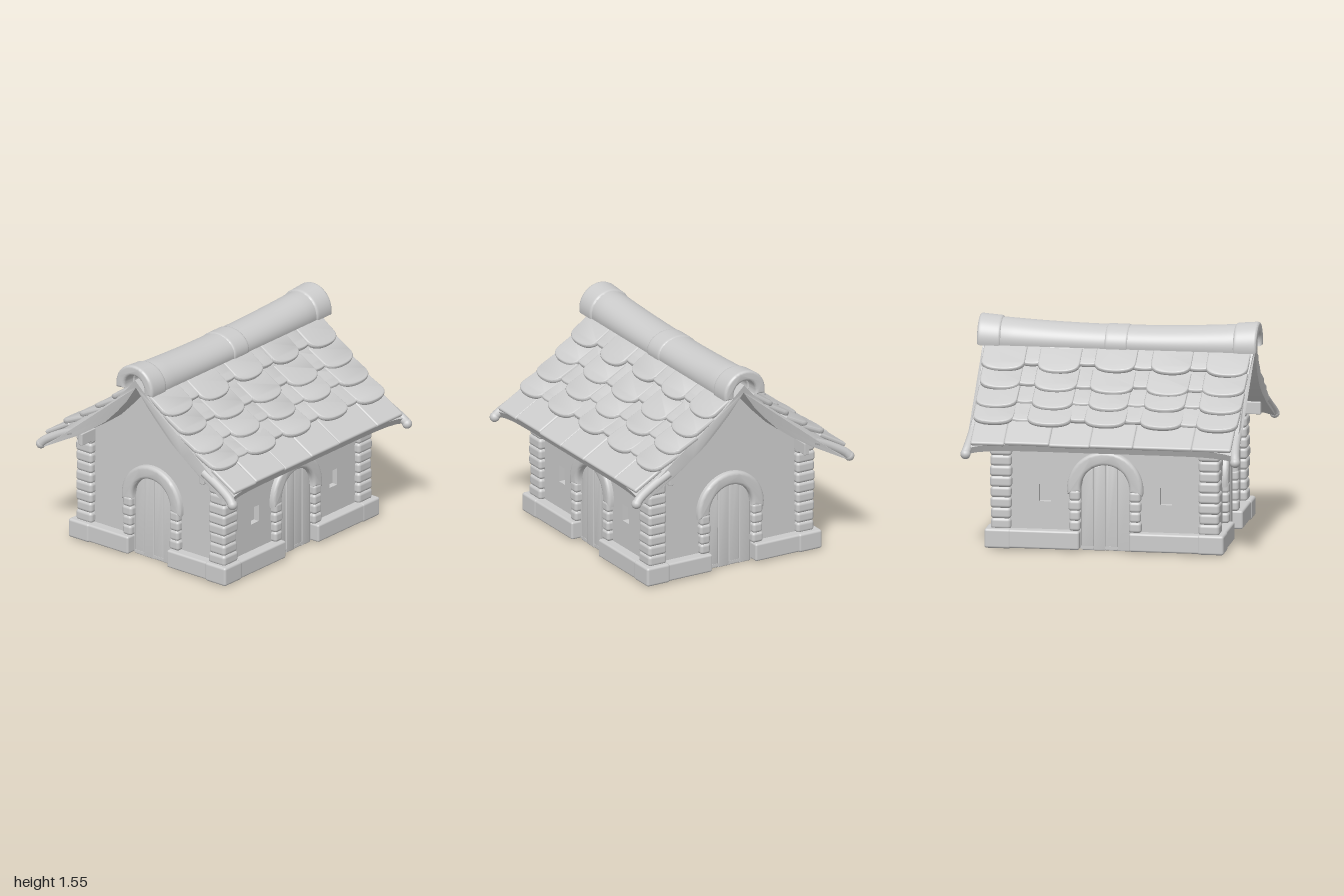
import * as THREE from 'three';
import { toCreasedNormals } from 'three/addons/utils/BufferGeometryUtils.js';
import { RoundedBoxGeometry } from 'three/addons/geometries/RoundedBoxGeometry.js';

const stone = new THREE.MeshStandardMaterial({ color: 0xcccccc });

function add(parent, name, geo, x = 0, y = 0, z = 0) {
  const m = new THREE.Mesh(geo, stone);
  m.name = name;
  m.position.set(x, y, z);
  parent.add(m);
  return m;
}
const block = (w, h, d, r = 0.02) => new RoundedBoxGeometry(w, h, d, 3, r);
const polygon = pts => new THREE.Shape(pts.map(p => new THREE.Vector2(p[0], p[1])));
const wobble = n => { const s = Math.sin(n * 12.9898) * 43758.5453; return (s - Math.floor(s)) * 2 - 1; };

function extrude(shape, depth, bevel = 0, steps = 1) {
  return new THREE.ExtrudeGeometry(shape, {
    depth, steps, curveSegments: 20, bevelEnabled: bevel > 0,
    bevelThickness: bevel, bevelSize: bevel, bevelOffset: -bevel, bevelSegments: 3 });
}
// extrude a (z, y) profile along x, centred on x = 0
function extrudeX(shape, length, bevel, steps) {
  return extrude(shape, length - 2 * bevel, bevel, steps)
    .translate(0, 0, -length / 2 + bevel).rotateY(-Math.PI / 2);
}
function bend(geo, rule) {
  const p = geo.attributes.position, v = new THREE.Vector3();
  for (let i = 0; i < p.count; i++) {
    rule(v.fromBufferAttribute(p, i));
    p.setXYZ(i, v.x, v.y, v.z);
  }
  return toCreasedNormals(geo, 0.7);
}

const DOOR = { r: 0.175, spring: 0.445 };
const roofTop = [[0, 1.44], [0.1, 1.33], [0.2, 1.235], [0.35, 1.115], [0.5, 1.01], [0.69, 0.89], [0.865, 0.79]];
const roofUnder = [[0, 1.38], [0.1, 1.24], [0.19, 1.14], [0.3, 1.03], [0.41, 0.95], [0.56, 0.86], [0.84, 0.74]];

function roofAt(z) {
  let i = 1;
  while (i < roofTop.length - 1 && z > roofTop[i][0]) i++;
  const [a, b] = [roofTop[i - 1], roofTop[i]];
  const k = (b[1] - a[1]) / (b[0] - a[0]);
  return { y: a[1] + k * (z - a[0]), slope: Math.atan(-k) };
}

// one wall facing +z: panel, arched door, jambs, plinth
function facade(outline, plane, cornerX, windows) {
  const g = new THREE.Group();
  const wall = polygon(outline);
  const hole = new THREE.Path();
  hole.moveTo(-DOOR.r, 0.03).lineTo(DOOR.r, 0.03).lineTo(DOOR.r, DOOR.spring);
  hole.absarc(0, DOOR.spring, DOOR.r, 0, Math.PI);
  hole.closePath();
  wall.holes.push(hole);
  if (windows) for (const s of [-1, 1]) {
    const x = s * 0.433, w = 0.042, h = 0.062;
    wall.holes.push(new THREE.Path([[x - w, 0.405 - h], [x + w, 0.405 - h], [x + w, 0.405 + h], [x - w, 0.405 + h]]
      .map(p => new THREE.Vector2(...p))));
  }
  add(g, 'wallPanel', extrude(wall, 0.06), 0, 0, plane - 0.06);

  // door planks follow the arch
  const n = 4, w = 2 * DOOR.r / n;
  for (let i = 0; i < n; i++) {
    const x0 = -DOOR.r + i * w, pts = [[x0, 0], [x0 + w, 0]];
    for (let k = 6; k >= 0; k--) {
      const x = x0 + w * k / 6;
      pts.push([x, DOOR.spring + Math.sqrt(Math.max(0, DOOR.r ** 2 - x * x))]);
    }
    add(g, 'doorPlank', toCreasedNormals(extrude(polygon(pts), 0.05, 0.008), 0.7), 0, 0, plane - 0.06 + 0.004 * (i % 2));
  }

  // arch ring over the door
  const ring = new THREE.Shape();
  ring.absarc(0, DOOR.spring, 0.272, -0.15, Math.PI + 0.15);
  ring.absarc(0, DOOR.spring, DOOR.r, Math.PI + 0.1, -0.1, true);
  add(g, 'doorArch', toCreasedNormals(extrude(ring, 0.06, 0.022), 0.8), 0, 0, plane - 0.04);

  for (const s of [-1, 1]) {
    for (let i = 0; i < 4; i++)
      add(g, 'jambStone', block(0.085 + 0.006 * wobble(i + s), 0.078, 0.09, 0.022), s * 0.216, 0.18 + i * 0.073, plane);
    const len = cornerX - 0.178;
    add(g, 'plinth', block(len, 0.132, 0.14, 0.015), s * (0.178 + len / 2), 0.078, plane + 0.005);
  }
  return g;
}

// round-ended shingle, tip at the origin, running up +y
function shingle(w, len) {
  const s = new THREE.Shape();
  s.moveTo(-w / 2, len);
  s.lineTo(-w / 2, 0.09);
  s.bezierCurveTo(-w / 2, 0.02, -w / 4, 0, 0, 0);
  s.bezierCurveTo(w / 4, 0, w / 2, 0.02, w / 2, 0.09);
  s.lineTo(w / 2, len);
  return toCreasedNormals(extrude(s, 0.012, 0.012), 0.8);
}

function ridgePart(name, parent, r, x0, x1) {
  const s = new THREE.Shape(), cy = 1.385;
  s.absarc(0, cy, r, -0.2, Math.PI + 0.2);
  s.absarc(0, cy, r - 0.075, Math.PI + 0.3, -0.3, true);
  const geo = extrudeX(s, x1 - x0, 0.018, 12).translate((x0 + x1) / 2, 0, 0);
  // the ridge sags toward the middle
  add(parent, name, bend(geo, v => {
    v.y -= 0.045 * (1 - v.x * v.x) * Math.max(0, (v.y - 1.35) / 0.2);
  }));
}

export function createModel() {
  const house = new THREE.Group();
  house.name = 'house';

  // solid core behind the recessed doors and windows
  const gable = d => [[-d, 0.012], [d, 0.012], [d, 0.82], [0.41, 0.97], [0.19, 1.17], [0, 1.4],
    [-0.19, 1.17], [-0.41, 0.97], [-d, 0.82]];
  add(house, 'core', extrudeX(polygon(gable(0.6)), 1.46, 0, 1));

  // four walls
  const front = [[-0.74, 0.012], [0.74, 0.012], [0.74, 0.84], [-0.74, 0.84]];
  for (let i = 0; i < 4; i++) {
    const side = i % 2 === 1;
    const wall = side ? facade(gable(0.62), 0.775, 0.6, false) : facade(front, 0.645, 0.72, true);
    wall.name = ['frontWall', 'leftWall', 'backWall', 'rightWall'][i];
    wall.rotation.y = i * Math.PI / 2;
    house.add(wall);
  }

  // corner stones
  for (const sx of [-1, 1]) for (const sz of [-1, 1]) {
    add(house, 'cornerBase', block(0.19, 0.14, 0.19, 0.018), sx * 0.762, 0.077, sz * 0.628);
    for (let i = 0; i < 9; i++) {
      const e = 0.008 * wobble(i * 3 + sx + 2 * sz);
      add(house, 'cornerStone', block(0.152 + e, 0.082, 0.148 + e, 0.024), sx * 0.745, 0.178 + i * 0.076, sz * 0.612);
    }
  }

  // roof slab, flared at ridge and eaves, drooping at its corners
  const roof = new THREE.Group();
  roof.name = 'roof';
  house.add(roof);
  const mirror = pts => pts.slice(1).map(p => [-p[0], p[1]]);
  const outline = [...roofUnder, ...[...roofTop].reverse(), ...mirror(roofTop), ...mirror(roofUnder).reverse()];
  add(roof, 'roofSlab', bend(extrudeX(polygon(outline), 1.9, 0, 24), v => {
    v.y -= 0.06 * Math.abs(v.x) ** 8 * Math.max(0, Math.abs(v.z) - 0.5) / 0.36;
    v.x *= 1 + 0.025 * ((v.y - 1.05) / 0.33) ** 2;
  }));
  for (const s of [-1, 1]) add(roof, 'purlin', block(1.84, 0.09, 0.04, 0.006), 0, 0.815, s * 0.558);

  // each slope: shingles, eave slates, corner horns
  for (const turn of [0, Math.PI]) {
    const slope = new THREE.Group();
    slope.name = turn ? 'backSlope' : 'frontSlope';
    slope.rotation.y = turn;
    roof.add(slope);
    [0.27, 0.42, 0.565, 0.71].forEach((zRow, row) => {
      for (let i = -4; i <= 4; i++) {
        const upper = i % 2 === 0, n = row * 11 + i;
        const z = zRow - (upper ? 0 : 0.05) + 0.01 * wobble(n);
        const at = roofAt(z), lift = upper ? 0.026 : 0.01;
        const tile = add(slope, 'shingle', shingle((upper ? 0.3 : 0.25) + 0.015 * wobble(n + 5), 0.24),
          i * 0.2, at.y + lift * Math.cos(at.slope), z + lift * Math.sin(at.slope));
        tile.rotation.x = at.slope - 0.1 - Math.PI / 2;
        tile.rotation.y = 0.03 * wobble(n + 9);
      }
    });
    const joints = [-0.93, -0.69, -0.37, -0.08, 0.23, 0.65, 0.93];
    for (let i = 0; i < 6; i++) {
      const w = joints[i + 1] - joints[i];
      const slate = add(slope, 'eaveSlate', block(w + 0.004, 0.032, 0.25, 0.014),
        (joints[i] + joints[i + 1]) / 2, 0.85 + 0.004 * wobble(i), 0.762 + 0.006 * wobble(i + 3));
      slate.rotation.x = 0.52;
    }
    for (const s of [-1, 1]) {
      const path = new THREE.CatmullRomCurve3([[0.94, 0.88, 0.6], [0.945, 0.81, 0.74], [0.958, 0.745, 0.85], [0.967, 0.715, 0.88]]
        .map(p => new THREE.Vector3(s * p[0], p[1], p[2])));
      add(slope, 'eaveHorn', new THREE.TubeGeometry(path, 12, 0.033, 12));
      add(slope, 'hornTip', new THREE.SphereGeometry(0.036, 16, 12), s * 0.965, 0.714, 0.88);
    }
  }

  // ridge roll with end caps and a middle band
  ridgePart('ridgeRoll', roof, 0.157, -0.9, 0.9);
  ridgePart('ridgeCap', roof, 0.167, -1, -0.83);
  ridgePart('ridgeCap', roof, 0.167, 0.83, 1);
  ridgePart('ridgeBand', roof, 0.164, -0.08, 0.09);
  return house;
}
